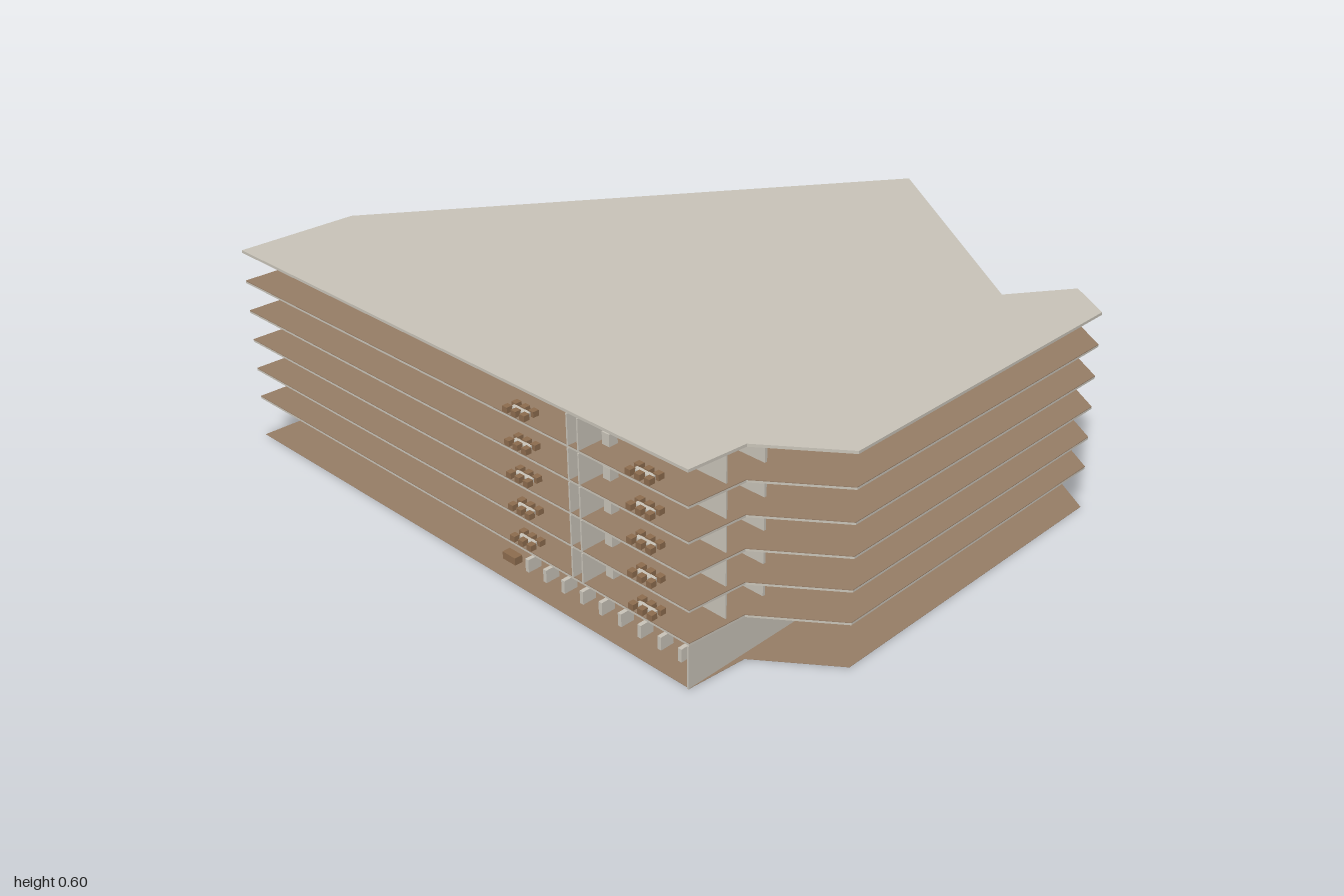
import * as THREE from 'three';

const mat = (name, color) => {
  const m = new THREE.MeshStandardMaterial({ color });
  m.name = name;
  return m;
};

export function createModel() {
  const concrete = mat('pale concrete', 0xc8c3b8);
  const floorBrown = mat('brown floor', 0x967d66);
  const railGrey = mat('dark grey railing', 0x505057);
  const woodBrown = mat('wood', 0x8c6c4e);

  const model = new THREE.Group();
  model.name = 'slabBuilding';

  const add = (parent, name, geo, material) => {
    const mesh = new THREE.Mesh(geo, material);
    mesh.name = name;
    parent.add(mesh);
    return mesh;
  };
  // Box given by its minimum and maximum corners
  const box = (parent, name, material, x0, x1, y0, y1, z0, z1) => {
    const m = add(parent, name, new THREE.BoxGeometry(x1 - x0, y1 - y0, z1 - z0), material);
    m.position.set((x0 + x1) / 2, (y0 + y1) / 2, (z0 + z1) / 2);
    return m;
  };

  // Shared floor plan, as x and z
  const plan = [[-1, 0.88], [-0.99, 0.51], [0.015, -0.885], [0.735, -0.365], [0.86, -0.54],
    [0.99, -0.455], [0.995, 0.555], [0.79, 0.705], [0.775, 0.88]];
  const planShape = new THREE.Shape(plan.map(([x, z]) => new THREE.Vector2(x, -z)));
  const plate = (name, material, y, depth) => {
    const geo = new THREE.ExtrudeGeometry(planShape, { depth, bevelEnabled: false });
    geo.rotateX(-Math.PI / 2);
    add(model, name, geo, material).position.y = y;
  };

  // Ground plate, five floors and the roof
  const levels = [0.132, 0.225, 0.319, 0.412, 0.506, 0.6];
  plate('groundPlate', floorBrown, 0.001, 0.001);
  levels.forEach((y, i) => {
    const roof = i === levels.length - 1;
    plate(roof ? 'roofSlab' : 'floorSlab', concrete, y - 0.008, roof ? 0.008 : 0.006);
    if (!roof) plate('floorFinish', floorBrown, y - 0.002, 0.002);
  });

  const front = 0.883, back = -0.22, pitch = 0.1335;
  const starts = Array.from({ length: 9 }, (_, i) => front - i * pitch);

  // Corridor wall running along z, with one doorway at the end of each unit
  const corridorWall = (parent, x, height, hasDoor) => {
    const shape = new THREE.Shape([[back, 0], [front, 0], [front, height], [back, height]]
      .map(p => new THREE.Vector2(...p)));
    for (let i = 0; i < 8; i++) {
      if (!hasDoor(i)) continue;
      const z = starts[i + 1] + 0.01;
      shape.holes.push(new THREE.Path([[z, 0.002], [z, 0.063], [z + 0.028, 0.063], [z + 0.028, 0.002]]
        .map(p => new THREE.Vector2(...p))));
    }
    const geo = new THREE.ExtrudeGeometry(shape, { depth: 0.005, bevelEnabled: false });
    geo.rotateY(-Math.PI / 2);
    add(parent, 'corridorWall', geo, concrete).position.x = x;
  };

  // Low table with two rows of three seats
  const seating = (parent, x, z) => {
    box(parent, 'table', concrete, x - 0.03, x + 0.03, 0, 0.012, z - 0.034, z - 0.02);
    for (const dx of [-0.032, 0, 0.032])
      for (const dz of [-0.012, -0.042])
        box(parent, 'seat', woodBrown, x + dx - 0.009, x + dx + 0.009, 0, 0.016, z + dz - 0.009, z + dz + 0.009);
  };

  // Two flights meeting at a half landing
  const stairs = (parent, height) => {
    const n = 7, run = 0.1 / n, rise = height / (2 * n);
    for (let i = 0; i < n; i++) {
      const zLow = -0.23 - i * run, zHigh = -0.33 + i * run;
      const yLow = (i + 1) * rise, yHigh = height / 2 + (i + 1) * rise;
      box(parent, 'lowerTread', woodBrown, 0.735, 0.77, yLow - rise, yLow, zLow - run, zLow);
      box(parent, 'upperTread', woodBrown, 0.7, 0.734, yHigh - 0.003, yHigh, zHigh, zHigh + run);
      box(parent, 'upperSoffit', concrete, 0.7, 0.734, yHigh - rise - 0.003, yHigh - 0.003, zHigh, zHigh + run);
    }
    box(parent, 'landing', woodBrown, 0.7, 0.77, height / 2 - 0.005, height / 2, -0.36, -0.33);
  };

  // Five storeys of units on both sides of the corridor
  for (let f = 0; f < 5; f++) {
    const storey = new THREE.Group();
    storey.name = 'storey';
    storey.position.y = levels[f];
    model.add(storey);
    const height = levels[f + 1] - levels[f] - 0.008;
    corridorWall(storey, 0.378, height, i => ![3, 5, 7].includes(i));
    corridorWall(storey, 0.415, height, () => true);
    for (const [x0, x1, cx, cabinet] of [[0.012, 0.373, 0.175, 0.345], [0.415, 0.77, 0.61, 0.43]]) {
      starts.forEach((z, i) => {
        const t = i % 3 === 2 ? 0.004 : 0.002;
        if (i > 0) box(storey, 'partyWall', concrete, x0, x1, 0, height, z - t, z + t);
        if (i === 8) return;
        seating(storey, cx, z);
        box(storey, 'cabinet', concrete, cabinet, cabinet + 0.025, 0, 0.034, z - 0.09, z - 0.062);
      });
    }
    // Stair landing railing
    box(storey, 'sideRailing', railGrey, 0.771, 0.775, 0, 0.03, -0.36, -0.222);
    box(storey, 'innerRailing', railGrey, 0.692, 0.696, 0, 0.03, -0.36, -0.222);
    if (f < 4) stairs(storey, levels[f + 1] - levels[f]);
    else box(storey, 'stairHeadWall', concrete, 0.686, 0.69, 0, height, -0.36, -0.222);
  }

  // Ground storey: side wall and a back wall with a door and a stair opening
  const ground = new THREE.Group();
  ground.name = 'groundStorey';
  model.add(ground);
  box(ground, 'sideWall', concrete, 0.77, 0.775, 0, 0.124, back, front);
  box(ground, 'backWallEnd', concrete, 0.012, 0.205, 0, 0.124, back, back + 0.005);
  box(ground, 'backWall', concrete, 0.235, 0.7, 0, 0.124, back, back + 0.005);
  box(ground, 'doorLintel', concrete, 0.205, 0.235, 0.063, 0.124, back, back + 0.005);
  stairs(ground, levels[0]);

  // Grid of low upright blocks
  for (let i = 0; i < 9; i++)
    for (let j = 0; j < 10; j++) {
      const x = 0.125 + i * 0.07, z = 0.8 - j * 0.105;
      box(ground, 'block', concrete, x - 0.006, x + 0.006, 0, 0.04, z - 0.022, z + 0.022);
    }

  // Reception desk and a small crate behind the building
  box(ground, 'desk', woodBrown, 0.03, 0.08, 0, 0.024, 0.8, 0.825);
  box(ground, 'crate', woodBrown, 0.02, 0.04, 0, 0.014, -0.355, -0.338);

  return model;
}
